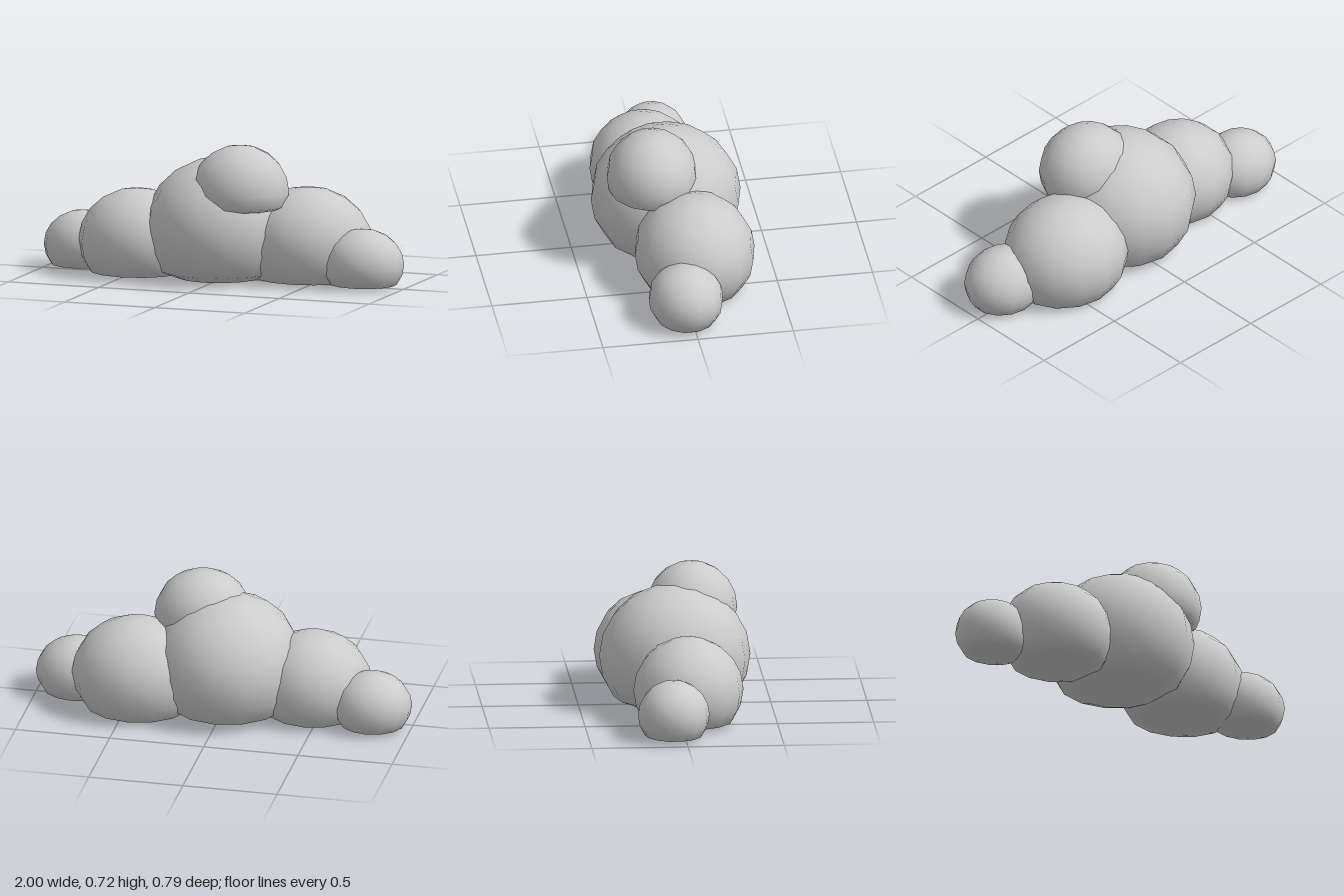
import * as THREE from 'three';
import { mergeVertices } from 'three/addons/utils/BufferGeometryUtils.js';

// Smooth ellipsoid whose underside is pressed almost flat below the floor height
function puffGeometry([cx, cy, cz], [rx, ry, rz], floor) {
  let g = new THREE.SphereGeometry(1, 14, 10);
  g.rotateY(Math.PI / 2);
  g.scale(rx, ry, rz);
  g.translate(cx, cy, cz);
  const p = g.attributes.position;
  for (let i = 0; i < p.count; i++) {
    const y = p.getY(i);
    if (y < floor) p.setY(i, floor + (y - floor) * 0.16);
  }
  // weld the seam so the shading runs smoothly all round
  g.deleteAttribute('uv');
  g.deleteAttribute('normal');
  g = mergeVertices(g, 1e-4);
  g.computeVertexNormals();
  return g;
}

export function createModel() {
  const cloud = new THREE.Group();
  cloud.name = 'cloud';
  const grey = new THREE.MeshStandardMaterial({ color: 0xcccccc });
  grey.name = 'cloudGrey';

  // name, centre, radii, floor height
  const puffs = [
    ['mainPuff', [-0.018, 0.265, 0], [0.39, 0.37, 0.393], 0.02],
    ['leftPuff', [0.444, 0.195, -0.075], [0.345, 0.3, 0.314], 0.02],
    ['rightPuff', [-0.46, 0.18, 0.04], [0.308, 0.275, 0.286], 0.02],
    ['leftEndPuff', [0.788, 0.127, 0.029], [0.217, 0.183, 0.194], 0.02],
    ['rightEndPuff', [-0.797, 0.125, -0.06], [0.208, 0.18, 0.186], 0.02],
    ['topPuff', [0.134, 0.485, 0.097], [0.256, 0.238, 0.238], 0.405],
  ];
  for (const [name, centre, radii, floor] of puffs) {
    const mesh = new THREE.Mesh(puffGeometry(centre, radii, floor), grey);
    mesh.name = name;
    cloud.add(mesh);
  }
  return cloud;
}
